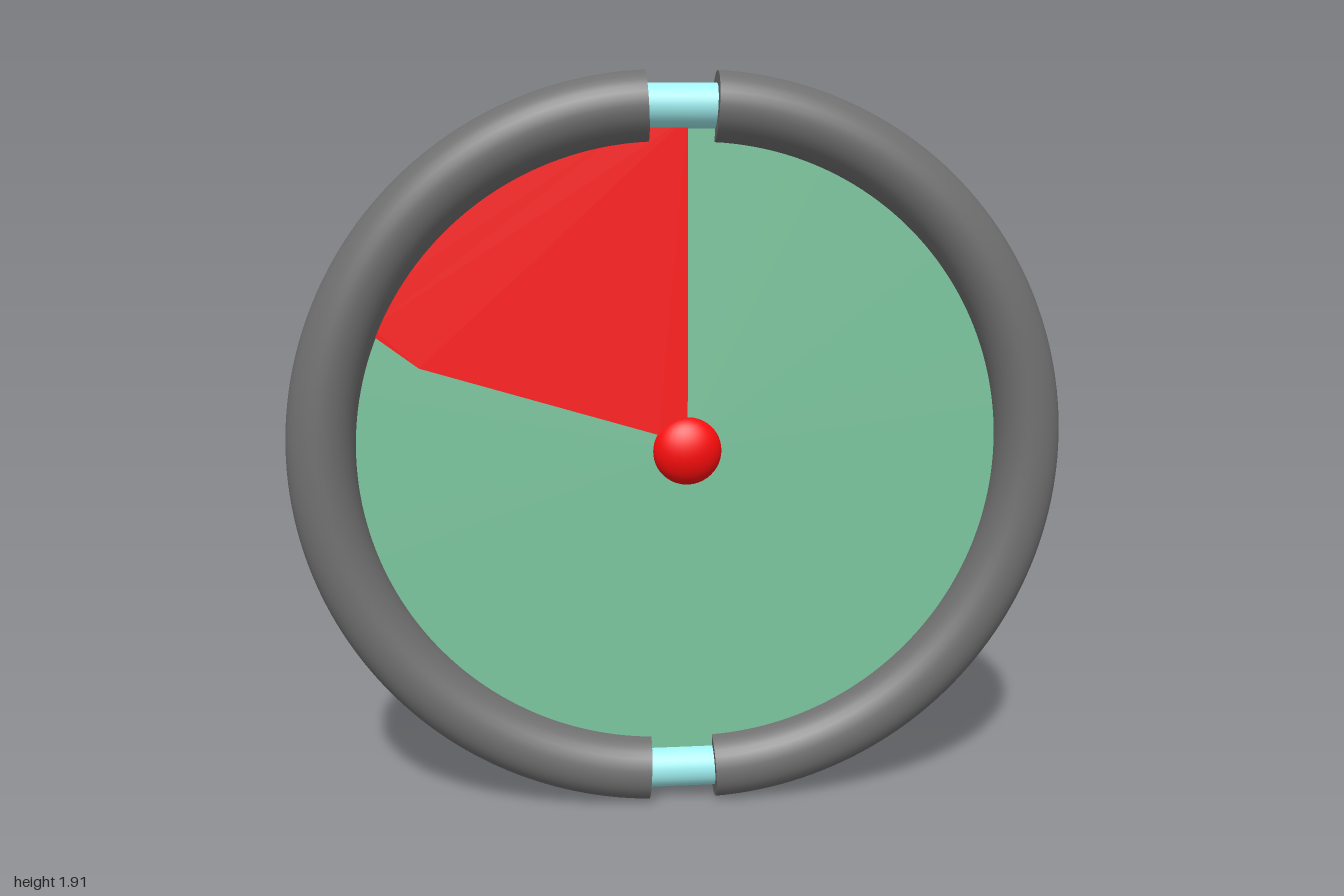
import * as THREE from 'three';

const CY = 0.954;      // height of the ring centre
const R = 0.8665;      // radius of the ring's centre line
const TUBE = 0.0875;   // thickness radius of the ring
const SHIFT = 0.045;   // each half ring is moved outwards
const GAP = 0.047;     // angle left open at each end of a half
const DISC_R = 0.84;

const mat = (color) => new THREE.MeshStandardMaterial({ color });

function add(parent, name, geometry, material) {
  const mesh = new THREE.Mesh(geometry, material);
  mesh.name = name;
  parent.add(mesh);
  return mesh;
}

// Half of the ring on the +x side, with closed ends
function halfRing(material) {
  const half = new THREE.Group();
  const arc = Math.PI - 2 * GAP;
  const tube = add(half, 'ringTube', new THREE.TorusGeometry(R, TUBE, 32, 96, arc), material);
  tube.rotation.z = -arc / 2;
  for (const s of [-1, 1]) {
    const a = s * arc / 2;
    const cap = add(half, 'ringEnd', new THREE.CircleGeometry(TUBE, 32), material);
    cap.position.set(R * Math.cos(a), R * Math.sin(a), 0);
    cap.lookAt(cap.position.x - s * Math.sin(a), cap.position.y + s * Math.cos(a), 0);
  }
  return half;
}

// Flat sector: straight upright edge, outer arc, then a bent lower edge back to the hub
function sector(lower, depth) {
  const shape = new THREE.Shape();
  const [ex, ey] = lower[0];
  shape.moveTo(0.015, 0);
  shape.lineTo(0.015, DISC_R);
  shape.absarc(0, 0, DISC_R, Math.PI / 2, Math.atan2(ey, ex), false);
  lower.slice(1).forEach(([x, y]) => shape.lineTo(x, y));
  shape.closePath();
  return new THREE.ExtrudeGeometry(shape, { depth, bevelEnabled: false, curveSegments: 32 });
}

export function createModel() {
  const model = new THREE.Group();
  model.name = 'roundDial';
  const grey = mat(0x707070), cyan = mat(0xa0f0f2), green = mat(0x7bc69e), red = mat(0xff0d0d);
  const dial = new THREE.Group();
  dial.name = 'dial';
  dial.position.y = CY;
  model.add(dial);

  // Two half rings, one turned round to the other side
  for (const s of [1, -1]) {
    const half = halfRing(grey);
    half.name = s > 0 ? 'leftHalfRing' : 'rightHalfRing';
    half.position.x = s * SHIFT;
    if (s < 0) half.rotation.y = Math.PI;
    dial.add(half);
  }

  // Connecting pins bridging the gaps at top and bottom
  for (const s of [1, -1]) {
    const pin = add(dial, s > 0 ? 'topPin' : 'bottomPin',
      new THREE.CylinderGeometry(0.056, 0.056, 0.24, 32), cyan);
    pin.rotation.z = Math.PI / 2;
    pin.position.y = s * R;
  }

  // Face plate
  const plate = add(dial, 'facePlate', new THREE.CylinderGeometry(DISC_R, DISC_R, 0.02, 96), green);
  plate.rotation.x = Math.PI / 2;

  // Red sector, with a slightly different lower edge on each side
  add(dial, 'frontSector', sector([[-0.78, 0.315], [-0.66, 0.225], [-0.06, 0.045]], 0.018), red);
  const back = add(dial, 'backSector', sector([[-0.79, 0.29], [-0.185, 0.11]], 0.018), red);
  back.position.z = -0.018;

  // Flattened hub
  const hub = add(dial, 'hub', new THREE.SphereGeometry(0.09, 32, 24), red);
  hub.scale.z = 0.65;
  hub.position.x = 0.015;

  return model;
}
